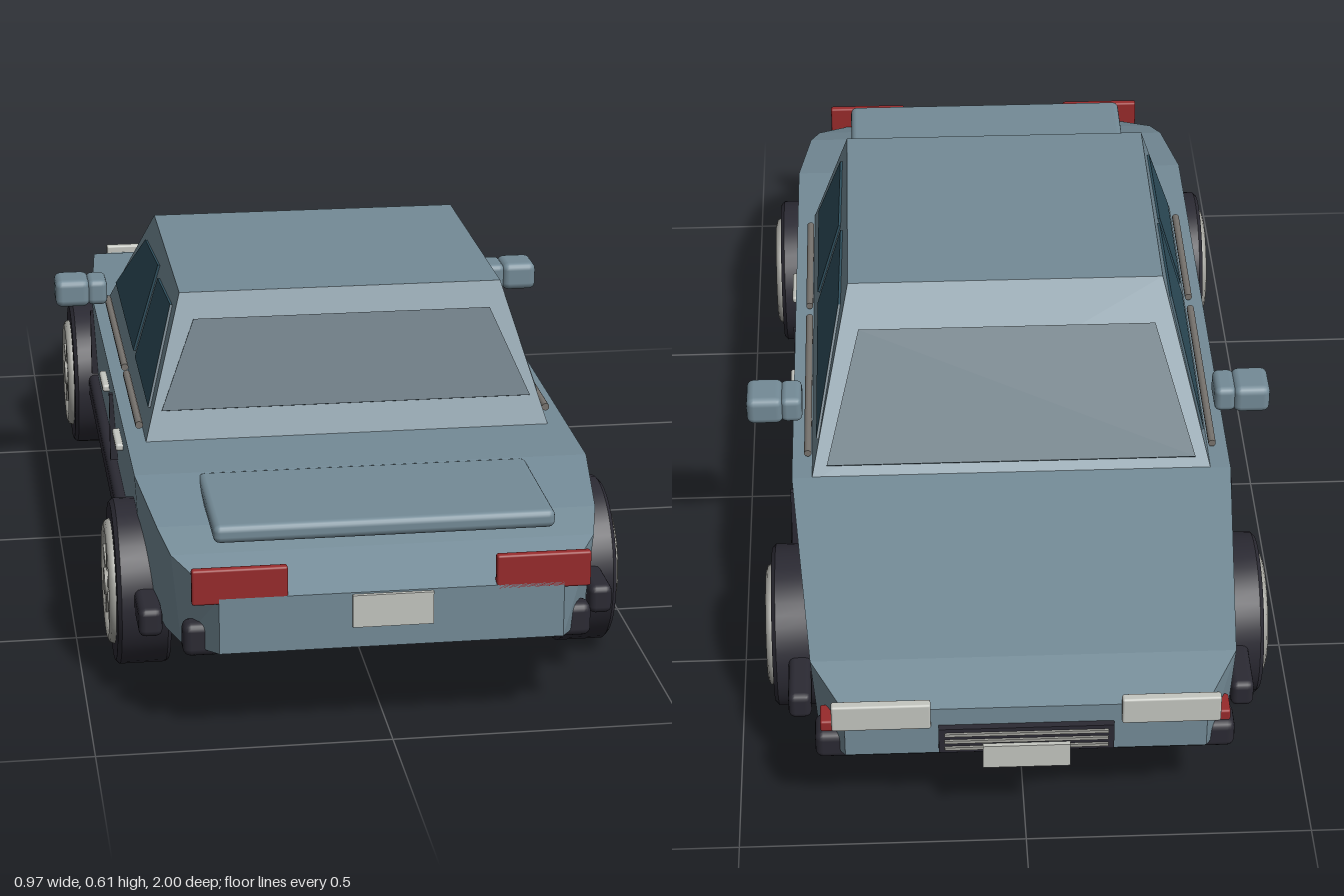
import * as THREE from 'three';
import { toCreasedNormals } from 'three/addons/utils/BufferGeometryUtils.js';
import { RoundedBoxGeometry } from 'three/addons/geometries/RoundedBoxGeometry.js';

const material = (name, color) => {
  const m = new THREE.MeshStandardMaterial({ color });
  m.name = name;
  return m;
};

// Closed solid through a list of equal-length rings of [x, y, z] points, flat faces
function skin(rings) {
  const n = rings[0].length, tris = [];
  for (let r = 0; r < rings.length - 1; r++) {
    for (let i = 0; i < n; i++) {
      const j = (i + 1) % n, a = rings[r], b = rings[r + 1];
      tris.push([a[i], a[j], b[j]], [a[i], b[j], b[i]]);
    }
  }
  const first = rings[0], last = rings[rings.length - 1];
  for (let i = 1; i < n - 1; i++) {
    tris.push([first[0], first[i + 1], first[i]], [last[0], last[i], last[i + 1]]);
  }
  // Turn every face outward whichever way the rings run
  const v = (p) => new THREE.Vector3(...p);
  let volume = 0;
  for (const [a, b, c] of tris) volume += v(a).dot(v(b).cross(v(c)));
  const flat = tris.flatMap(([a, b, c]) => (volume < 0 ? [a, c, b] : [a, b, c])).flat();
  const g = new THREE.BufferGeometry();
  g.setAttribute('position', new THREE.Float32BufferAttribute(flat, 3));
  g.computeVertexNormals();
  return g;
}

// Thin plate lying on a flat outline
function pane(points) {
  const [a, b, c] = points.map((p) => new THREE.Vector3(...p));
  const normal = b.clone().sub(a).cross(c.clone().sub(a)).normalize();
  const shift = (d) => points.map((p) => new THREE.Vector3(...p).addScaledVector(normal, d).toArray());
  return skin([shift(-0.0045), shift(0.0045)]);
}

export function createModel() {
  const car = new THREE.Group();
  car.name = 'car';
  const paint = material('blueGreyPaint', 0x748b97);
  const glass = material('tintedGlass', 0x2f4f5d);
  const rubber = material('blackRubber', 0x2b2a33);
  const chrome = material('chrome', 0xa4a49e);
  const pale = material('paleLens', 0xc4c6c0);
  const red = material('redLens', 0x982a2b);
  const trim = material('trimGrey', 0x77736e);

  const add = (name, geometry, mat, parent = car) => {
    const mesh = new THREE.Mesh(geometry, mat);
    mesh.name = name;
    parent.add(mesh);
    return mesh;
  };
  // Box given by its low and high limits on each axis, optionally rounded
  const box = (name, mat, [x0, x1], [y0, y1], [z0, z1], radius = 0) => {
    const size = [x1 - x0, y1 - y0, z1 - z0];
    const g = radius ? new RoundedBoxGeometry(...size, 2, radius) : new THREE.BoxGeometry(...size);
    const mesh = add(name, g, mat);
    mesh.position.set((x0 + x1) / 2, (y0 + y1) / 2, (z0 + z1) / 2);
    return mesh;
  };
  const span = (s, a, b) => (s > 0 ? [a, b] : [-b, -a]);

  // Lower body: z, top half width, top y, bottom half width, bottom y
  const sections = [
    [0.988, 0.29, 0.265, 0.29, 0.167],
    [0.89, 0.36, 0.308, 0.345, 0.15],
    [0.82, 0.377, 0.332, 0.365, 0.15],
    [0.64, 0.4, 0.36, 0.388, 0.15],
    [-0.42, 0.402, 0.362, 0.39, 0.15],
    [-0.88, 0.367, 0.316, 0.355, 0.15],
    [-0.98, 0.31, 0.288, 0.31, 0.19],
  ];
  add('body', skin(sections.map(([z, wt, yt, wb, yb]) =>
    [[-wb, yb, z], [wb, yb, z], [wt, yt, z], [-wt, yt, z]])), paint);

  // Cabin
  const ring = (w, y, zBack, zFront) => [[-w, y, zBack], [w, y, zBack], [w, y, zFront], [-w, y, zFront]];
  add('cabin', skin([ring(0.367, 0.355, 0.475, -0.425), ring(0.293, 0.605, 0.37, -0.148)]), paint);
  const sideX = (y) => 0.367 - (y - 0.355) * 0.296;
  const backZ = (y) => 0.475 - (y - 0.355) * 0.42;
  const frontZ = (y) => -0.425 + (y - 0.355) * 1.108;
  const endWindow = (name, zAt, y0, w0, y1, w1) => add(name, pane(
    [[-w0, y0, zAt(y0)], [w0, y0, zAt(y0)], [w1, y1, zAt(y1)], [-w1, y1, zAt(y1)]]), glass);
  endWindow('rearWindow', backZ, 0.41, 0.335, 0.56, 0.27);
  endWindow('windscreen', frontZ, 0.375, 0.338, 0.545, 0.275);

  // Boot lid, number plates, grille and bumpers
  box('bootLid', paint, [-0.29, 0.29], [0.33, 0.362], [0.64, 0.91], 0.012);
  box('rearPlate', pale, [-0.068, 0.068], [0.205, 0.262], [0.986, 0.995]);
  box('grille', rubber, [-0.15, 0.15], [0.2, 0.252], [-0.992, -0.975]);
  for (const y of [0.211, 0.226, 0.241]) {
    box('grilleBar', chrome, [-0.14, 0.14], [y - 0.003, y + 0.003], [-0.996, -0.988]);
  }
  box('frontPlate', pale, [-0.075, 0.075], [0.17, 0.218], [-1, -0.992]);
  box('rearBumper', rubber, [-0.347, 0.347], [0.147, 0.206], [0.91, 0.952], 0.014);
  box('frontBumper', rubber, [-0.362, 0.362], [0.163, 0.217], [-0.96, -0.895], 0.014);

  // Wheel shapes, with the axle along x and the outside facing +x
  const tyreProfile = [[0, -0.046], [0.142, -0.046], [0.147, -0.04], [0.147, 0.04], [0.14, 0.047],
    [0.108, 0.047], [0.102, 0.03], [0, 0.03]].map(([r, y]) => new THREE.Vector2(r, y));
  const tyre = toCreasedNormals(new THREE.LatheGeometry(tyreProfile, 40).rotateZ(-Math.PI / 2), 0.5);
  const rim = new THREE.TorusGeometry(0.1, 0.011, 8, 40).rotateY(Math.PI / 2);
  const spoke = new THREE.BoxGeometry(0.014, 0.085, 0.019).translate(0, 0.055, 0);
  const hub = new THREE.CylinderGeometry(0.024, 0.027, 0.03, 20).rotateZ(-Math.PI / 2);

  for (const s of [-1, 1]) {
    for (const [name, z] of [['rearWheel', 0.595], ['frontWheel', -0.575]]) {
      const wheel = new THREE.Group();
      wheel.name = name;
      wheel.position.set(s * 0.393, 0.147, z);
      wheel.rotation.y = s > 0 ? 0 : Math.PI;
      add('tyre', tyre, rubber, wheel);
      add('rim', rim, chrome, wheel).position.x = 0.048;
      add('hub', hub, chrome, wheel).position.x = 0.046;
      for (let i = 0; i < 5; i++) {
        const arm = add('spoke', spoke, chrome, wheel);
        arm.position.x = 0.049;
        arm.rotation.x = (i * Math.PI * 2) / 5;
      }
      car.add(wheel);
    }

    // Side windows as [z, y] outlines
    const sideWindow = (name, outline) =>
      add(name, pane(outline.map(([z, y]) => [s * sideX(y), y, z])), glass);
    sideWindow('rearSideWindow', [[0.417, 0.405], [0.123, 0.405], [0.123, 0.558], [0.337, 0.572]]);
    sideWindow('frontSideWindow', [[0.085, 0.405], [-0.36, 0.405], [-0.145, 0.556], [0.085, 0.572]]);

    // Rails under the windows
    for (const [z0, z1] of [[0.123, 0.417], [-0.36, 0.085]]) {
      const rail = add('windowRail', new THREE.CylinderGeometry(0.007, 0.007, z1 - z0, 10).rotateX(Math.PI / 2), trim);
      rail.position.set(s * 0.373, 0.373, (z0 + z1) / 2);
    }

    // Sills, door gaps and handles
    box('sill', rubber, span(s, 0.37, 0.411), [0.135, 0.186], [-0.823, 0.832], 0.012);
    for (const z of [0.109, -0.415]) {
      box('doorGap', rubber, span(s, 0.388, 0.406), [0.197, 0.33], [z - 0.005, z + 0.005]);
    }
    for (const z of [0.293, -0.045]) {
      box('doorHandle', pale, span(s, 0.393, 0.411), [0.296, 0.31], [z - 0.046, z + 0.046], 0.005);
    }

    // Door mirrors
    box('mirrorHousing', paint, span(s, 0.417, 0.485), [0.398, 0.453], [-0.305, -0.225], 0.014);
    box('mirrorArm', paint, span(s, 0.382, 0.422), [0.4, 0.451], [-0.302, -0.228], 0.012);

    // Lamps
    box('tailLamp', red, span(s, 0.175, 0.335), [0.255, 0.317], [0.972, 0.988], 0.004);
    box('headLamp', pale, span(s, 0.163, 0.332), [0.252, 0.305], [-0.99, -0.972], 0.004);
    box('sideMarker', red, span(s, 0.315, 0.352), [0.228, 0.25], [-0.962, -0.915], 0.004);
  }
  return car;
}
